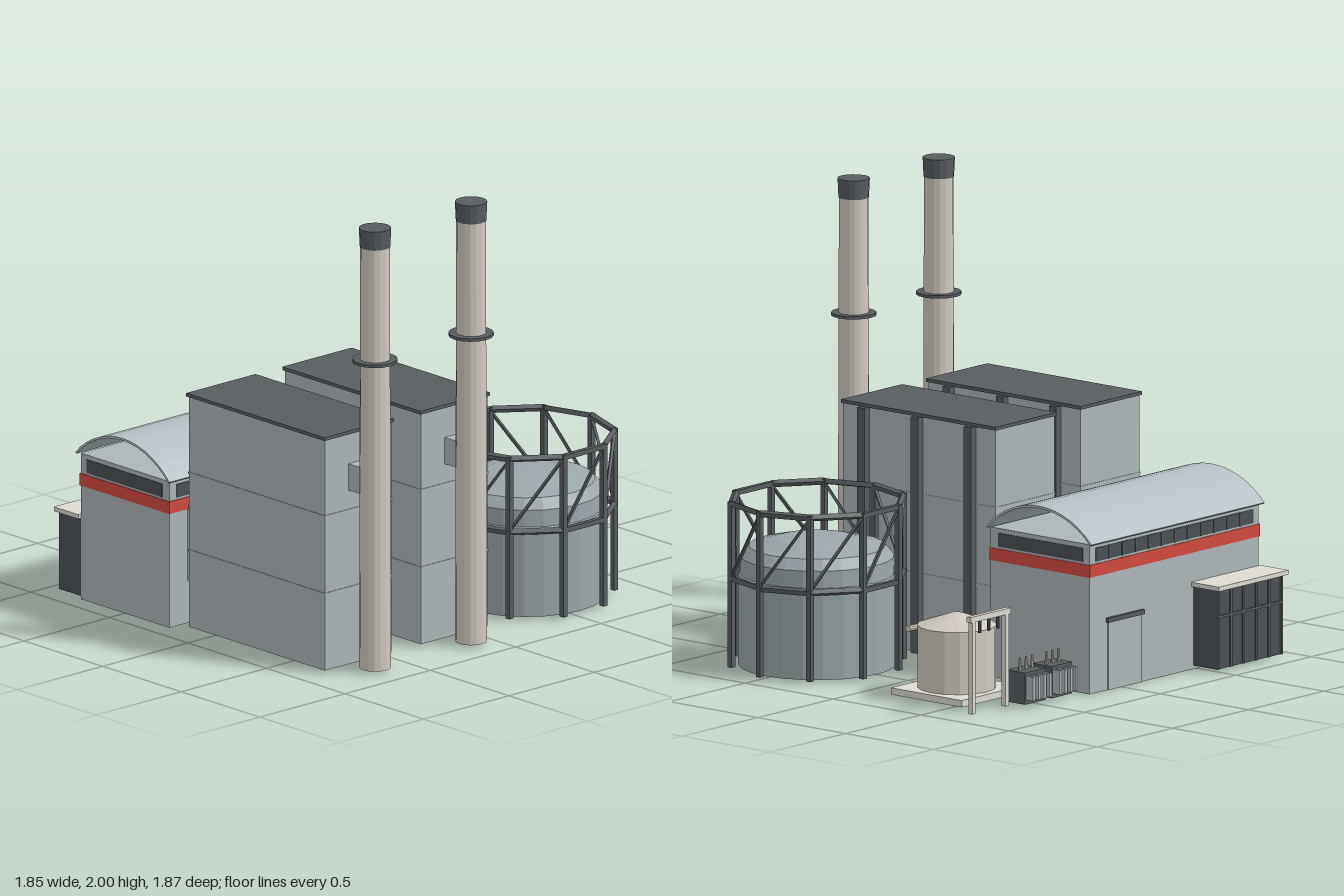
import * as THREE from 'three';

const mat = (name, color) => new THREE.MeshStandardMaterial({ name, color, flatShading: true });

export function createModel() {
  const M = {
    wall: mat('wallGrey', 0xaeb6b9),
    roof: mat('roofMetal', 0xb4bfc4),
    holder: mat('holderSteel', 0x9ca7ab),
    dark: mat('darkSteel', 0x585d60),
    glass: mat('darkGlass', 0x4b5155),
    red: mat('redStripe', 0xd24b3f),
    stack: mat('stackConcrete', 0xd0cac0),
    pale: mat('paleConcrete', 0xdedbd4),
  };
  const root = new THREE.Group();
  root.name = 'powerStation';

  const group = (name, x = 0, y = 0, z = 0) => {
    const g = new THREE.Group();
    g.name = name;
    g.position.set(x, y, z);
    root.add(g);
    return g;
  };
  const add = (parent, name, geo, m) => {
    const mesh = new THREE.Mesh(geo, m);
    mesh.name = name;
    parent.add(mesh);
    return mesh;
  };
  // Box given by its min and max on each axis
  const box = (parent, name, m, x0, x1, y0, y1, z0, z1) => {
    const mesh = add(parent, name, new THREE.BoxGeometry(x1 - x0, y1 - y0, z1 - z0), m);
    mesh.position.set((x0 + x1) / 2, (y0 + y1) / 2, (z0 + z1) / 2);
    return mesh;
  };
  const cyl = (parent, name, m, rTop, rBottom, y0, y1, sides, x = 0, z = 0) => {
    const mesh = add(parent, name, new THREE.CylinderGeometry(rTop, rBottom, y1 - y0, sides), m);
    mesh.position.set(x, (y0 + y1) / 2, z);
    return mesh;
  };
  // Square bar between two points in the parent's space
  const up = new THREE.Vector3(0, 1, 0);
  const bar = (parent, name, m, a, b, w) => {
    const mesh = add(parent, name, new THREE.BoxGeometry(w, a.distanceTo(b), w), m);
    mesh.position.copy(a).add(b).multiplyScalar(0.5);
    mesh.quaternion.setFromUnitVectors(up, b.clone().sub(a).normalize());
  };

  // Turbine hall
  const hall = group('turbineHall');
  box(hall, 'hallWalls', M.wall, -0.91, 0.208, 0, 0.66, -0.778, -0.215);
  box(hall, 'redBand', M.red, -0.914, 0.212, 0.515, 0.57, -0.782, -0.211);
  for (const [z, s] of [[-0.778, -1], [-0.215, 1]]) {
    box(hall, 'longWindow', M.glass, -0.87, 0.17, 0.58, 0.64, z - 0.004, z + 0.004);
    for (let i = 1; i < 12; i++) {
      const x = -0.87 + (i * 1.04) / 12;
      box(hall, 'mullion', M.dark, x - 0.004, x + 0.004, 0.58, 0.64, z + s * 0.004 - 0.003, z + s * 0.004 + 0.003);
    }
  }
  for (const x of [-0.91, 0.208])
    box(hall, 'endWindow', M.glass, x - 0.004, x + 0.004, 0.58, 0.64, -0.74, -0.26);
  box(hall, 'rearDoor', M.wall, -0.13, 0.09, 0, 0.3, -0.783, -0.777);
  box(hall, 'doorLintel', M.dark, -0.14, 0.1, 0.3, 0.32, -0.793, -0.778);

  // Open-ended vaulted roof shell
  const N = 14, half = 0.818;
  const arcPoint = (r, i) => {
    const a = -half + (2 * half * i) / N;
    return new THREE.Vector2(r * Math.sin(a), r * Math.cos(a));
  };
  const pts = [];
  for (let i = 0; i <= N; i++) pts.push(arcPoint(0.411, i));
  for (let i = N; i >= 0; i--) pts.push(arcPoint(0.401, i));
  const vault = add(hall, 'vaultedRoof',
    new THREE.ExtrudeGeometry(new THREE.Shape(pts), { depth: 1.145, bevelEnabled: false }), M.roof);
  vault.rotation.y = Math.PI / 2;
  vault.position.set(-0.925, 0.383, -0.4985);

  // Glazed annex behind the hall
  const annex = group('annex');
  box(annex, 'annexBody', M.glass, -0.91, -0.48, 0.015, 0.365, -0.91, -0.778);
  box(annex, 'annexRoof', M.pale, -0.925, -0.465, 0.365, 0.385, -0.935, -0.778);
  for (let i = 0; i <= 5; i++) {
    const x = -0.905 + i * 0.084;
    box(annex, 'annexMullion', M.dark, x - 0.006, x + 0.006, 0.015, 0.365, -0.916, -0.908);
  }
  box(annex, 'annexTransom', M.dark, -0.91, -0.48, 0.24, 0.252, -0.916, -0.908);

  // Two boiler houses, each with a chimney
  for (const cx of [-0.675, -0.112]) {
    const b = group('boilerHouse', cx);
    box(b, 'boilerWalls', M.wall, -0.195, 0.195, 0.015, 1.055, -0.135, 0.73);
    box(b, 'boilerRoof', M.dark, -0.203, 0.203, 1.055, 1.07, -0.143, 0.737);
    for (const y of [0.36, 0.71])
      box(b, 'wallSeam', M.wall, -0.198, 0.198, y - 0.005, y + 0.005, -0.138, 0.733);
    for (const z of [-0.003, 0.298, 0.602])
      box(b, 'sideColumn', M.dark, 0.195, 0.227, 0.015, 1.055, z - 0.021, z + 0.021);
    box(b, 'hallDuct', M.wall, -0.128, 0.128, 0.19, 0.535, -0.215, -0.135);
    box(b, 'flueDuct', M.wall, -0.055, 0.055, 0.8, 0.92, 0.73, 0.8);

    const c = group('chimney', cx, 0, 0.838);
    cyl(c, 'chimneyShaft', M.stack, 0.064, 0.069, 0.015, 1.92, 16);
    cyl(c, 'chimneyCap', M.dark, 0.07, 0.066, 1.915, 2, 16);
    cyl(c, 'chimneyRing', M.dark, 0.098, 0.098, 1.395, 1.408, 16);
  }

  // Gas holder: shell and domed bell
  const holder = group('gasHolder', 0.535, 0, 0.49);
  const profile = [[0, 0.012], [0.342, 0.012], [0.342, 0.41], [0.335, 0.415], [0.333, 0.49],
    [0.295, 0.535], [0.172, 0.566], [0, 0.573]].map(([r, y]) => new THREE.Vector2(r, y));
  add(holder, 'holderTank', new THREE.LatheGeometry(profile, 24), M.holder);

  // Ten-sided guide frame with rings and diagonals
  const corner = (i, y) => {
    const a = (i * Math.PI) / 5;
    return new THREE.Vector3(0.38 * Math.cos(a), y, 0.38 * Math.sin(a));
  };
  for (let i = 0; i < 10; i++) {
    bar(holder, 'framePost', M.dark, corner(i, 0.015), corner(i, 0.745), 0.024);
    for (const y of [0.405, 0.735])
      bar(holder, 'frameRing', M.dark, corner(i, y), corner(i + 1, y), 0.022);
    bar(holder, 'frameDiagonal', M.dark, corner(i, 0.73), corner(i + 1, 0.41), 0.012);
  }

  // Storage tank on its slab
  const tank = group('storageTank', 0.618, 0, -0.375);
  box(tank, 'tankSlab', M.pale, -0.202, 0.202, 0.015, 0.045, -0.202, 0.202);
  cyl(tank, 'tankShell', M.stack, 0.17, 0.17, 0.045, 0.32, 16);
  cyl(tank, 'tankCone', M.stack, 0.028, 0.173, 0.32, 0.37, 16);

  // Transformers with cooling fins and bushings
  for (const x of [0.36, 0.535]) {
    const t = group('transformer', x, 0, -0.697);
    box(t, 'transformerBody', M.dark, -0.068, 0.068, 0.015, 0.155, -0.053, 0.053);
    for (let i = 0; i < 4; i++) {
      const fx = -0.054 + i * 0.036;
      box(t, 'coolingFin', M.wall, fx - 0.008, fx + 0.008, 0.035, 0.14, -0.093, -0.053);
    }
    for (const bx of [-0.04, 0, 0.04])
      cyl(t, 'bushing', M.stack, 0.005, 0.008, 0.155, 0.21, 8, bx);
  }

  // Line gantry with hanging insulators
  const gantry = group('lineGantry', 0.783, 0, -0.698);
  box(gantry, 'gantryBeam', M.pale, -0.132, 0.132, 0.42, 0.445, -0.012, 0.012);
  for (const x of [-0.11, 0.11])
    box(gantry, 'gantryPost', M.pale, x - 0.011, x + 0.011, 0.015, 0.42, -0.011, 0.011);
  for (const x of [-0.06, 0, 0.06])
    cyl(gantry, 'insulator', M.dark, 0.007, 0.007, 0.365, 0.42, 8, x);

  // Pipe on a low rack
  const rack = group('pipeRack');
  box(rack, 'rackBeam', M.dark, 0.21, 0.42, 0.2, 0.216, -0.023, 0.013);
  for (const x of [0.23, 0.4])
    box(rack, 'rackPost', M.dark, x - 0.01, x + 0.01, 0.015, 0.2, -0.015, 0.005);
  const pipe = cyl(rack, 'pipe', M.stack, 0.014, 0.014, 0, 0.3, 10);
  pipe.rotation.z = Math.PI / 2;
  pipe.position.set(0.36, 0.23, -0.005);

  return root;
}
